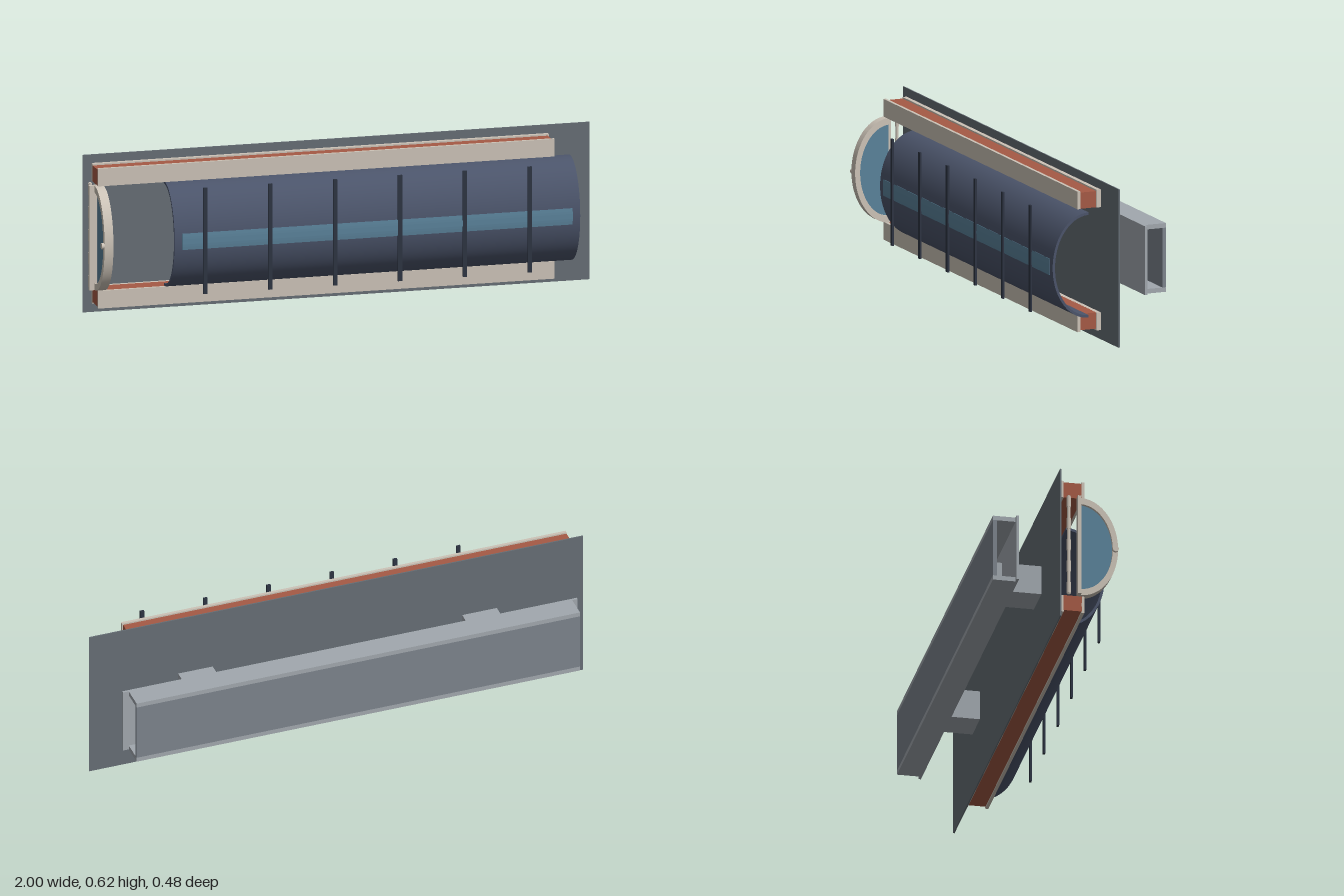
import * as THREE from 'three';
import { toCreasedNormals } from 'three/addons/utils/BufferGeometryUtils.js';

const mat = (color) => new THREE.MeshStandardMaterial({ color });
const plateMat = mat(0x666e75), steel = mat(0xa1a8ae), steelDark = mat(0x7c838c);
const cream = mat(0xccc3b7), brick = mat(0xa55a45), navy = mat(0x4b546a);
const glass = mat(0x5a829a), dark = mat(0x2d3442);

const CY = 0.31, CZ = 0.085; // axis of the half-elliptical cover

export function createModel() {
  const model = new THREE.Group();

  const add = (parent, name, geometry, material) => {
    const mesh = new THREE.Mesh(geometry, material);
    mesh.name = name;
    parent.add(mesh);
    return mesh;
  };

  // Box given by its extents on each axis
  const box = (parent, name, [x0, x1], [y0, y1], [z0, z1], material) => {
    const mesh = add(parent, name, new THREE.BoxGeometry(x1 - x0, y1 - y0, z1 - z0), material);
    mesh.position.set((x0 + x1) / 2, (y0 + y1) / 2, (z0 + z1) / 2);
    return mesh;
  };

  // Elliptical arc section in the z-y plane, extruded along x; zero inner radii give a solid half
  const arc = (parent, name, [x0, x1], rz, ry, innerZ, innerY, a, material) => {
    const points = [], n = 48;
    for (let i = 0; i <= n; i++) {
      const t = -a + (2 * a * i) / n;
      points.push(new THREE.Vector2(rz * Math.cos(t), ry * Math.sin(t)));
    }
    if (innerZ > 0) for (let i = n; i >= 0; i--) {
      const t = -a + (2 * a * i) / n;
      points.push(new THREE.Vector2(innerZ * Math.cos(t), innerY * Math.sin(t)));
    }
    const geometry = new THREE.ExtrudeGeometry(new THREE.Shape(points), { depth: x1 - x0, bevelEnabled: false });
    const mesh = add(parent, name, toCreasedNormals(geometry, 0.5), material);
    mesh.rotation.y = -Math.PI / 2;
    mesh.position.set(x1, CY, CZ);
    return mesh;
  };

  // Back plate
  box(model, 'backPlate', [-1, 1], [0, 0.617], [0, 0.005], plateMat);

  // Upper and lower guide rails, mirrored about the axis
  for (const side of [1, -1]) {
    const rail = new THREE.Group();
    rail.name = side > 0 ? 'upperRail' : 'lowerRail';
    const span = (a, b) => [CY + side * a, CY + side * b].sort((p, q) => p - q);
    box(rail, 'railCore', [-0.965, 0.83], span(0.205, 0.268), [0.02, 0.092], brick);
    box(rail, 'railFrontFlange', [-0.965, 0.835], span(0.205, 0.274), [0.09, 0.102], cream);
    box(rail, 'railBackFlange', [-0.965, 0.835], span(0.205, 0.274), [0.005, 0.022], cream);
    model.add(rail);
  }

  // Curved sliding cover with its window strip and straps
  const cover = new THREE.Group();
  cover.name = 'cover';
  model.add(cover);
  arc(cover, 'coverShell', [-0.7, 0.9], 0.15, 0.205, 0.14, 0.195, Math.PI / 2, navy);
  arc(cover, 'windowStrip', [-0.67, 0.87], 0.152, 0.207, 0.147, 0.202, 0.155, glass);
  for (let i = 0; i < 6; i++) {
    const x = -0.58 + i * 0.256;
    box(cover, 'coverStrap', [x - 0.008, x + 0.008], [0.102, 0.517], [0.234, 0.242], dark);
  }

  // Hinged end door
  const door = new THREE.Group();
  door.name = 'endDoor';
  model.add(door);
  arc(door, 'doorRim', [-0.975, -0.94], 0.146, 0.204, 0.125, 0.178, Math.PI / 2, cream);
  arc(door, 'doorPane', [-0.963, -0.953], 0.128, 0.18, 0, 0, Math.PI / 2, glass);
  box(door, 'doorPost', [-0.995, -0.965], [0.105, 0.515], [0.071, 0.085], cream);
  const knob = add(door, 'doorKnob', new THREE.CylinderGeometry(0.012, 0.012, 0.012, 20), cream);
  knob.rotation.z = Math.PI / 2;
  knob.position.set(-0.979, CY, 0.22);

  // Hinge pin with knuckles
  const pin = add(door, 'hingePin', new THREE.CylinderGeometry(0.006, 0.006, 0.412, 20), cream);
  pin.position.set(-0.98, CY, 0.038);
  for (let i = 0; i < 5; i++) {
    const knuckle = add(door, 'hingeKnuckle', new THREE.CylinderGeometry(0.008, 0.008, 0.045, 20), cream);
    knuckle.position.set(-0.98, CY + (i - 2) * 0.09, 0.038);
  }

  // Rear support beam: open-ended box on a slightly longer mounting plate
  const beam = new THREE.Group();
  beam.name = 'supportBeam';
  model.add(beam);
  box(beam, 'beamMountPlate', [-0.922, 0.918], [0.175, 0.443], [-0.152, -0.143], steel);
  box(beam, 'beamTop', [-0.9, 0.895], [0.425, 0.443], [-0.24, -0.152], steel);
  box(beam, 'beamBottom', [-0.9, 0.895], [0.175, 0.193], [-0.24, -0.152], steel);
  box(beam, 'beamBack', [-0.9, 0.895], [0.193, 0.425], [-0.24, -0.225], steelDark);

  // Brackets from the plate to the beam, with bolt heads inside the beam
  for (const x of [-0.58, 0.57]) {
    box(model, 'bracket', [x - 0.07, x + 0.07], [0.25, 0.367], [-0.225, 0], steel);
    for (const y of [0.195, 0.423]) {
      const bolt = add(beam, 'beamBolt', new THREE.CylinderGeometry(0.005, 0.005, 0.004, 16), dark);
      bolt.position.set(x, y, -0.192);
    }
  }

  return model;
}
